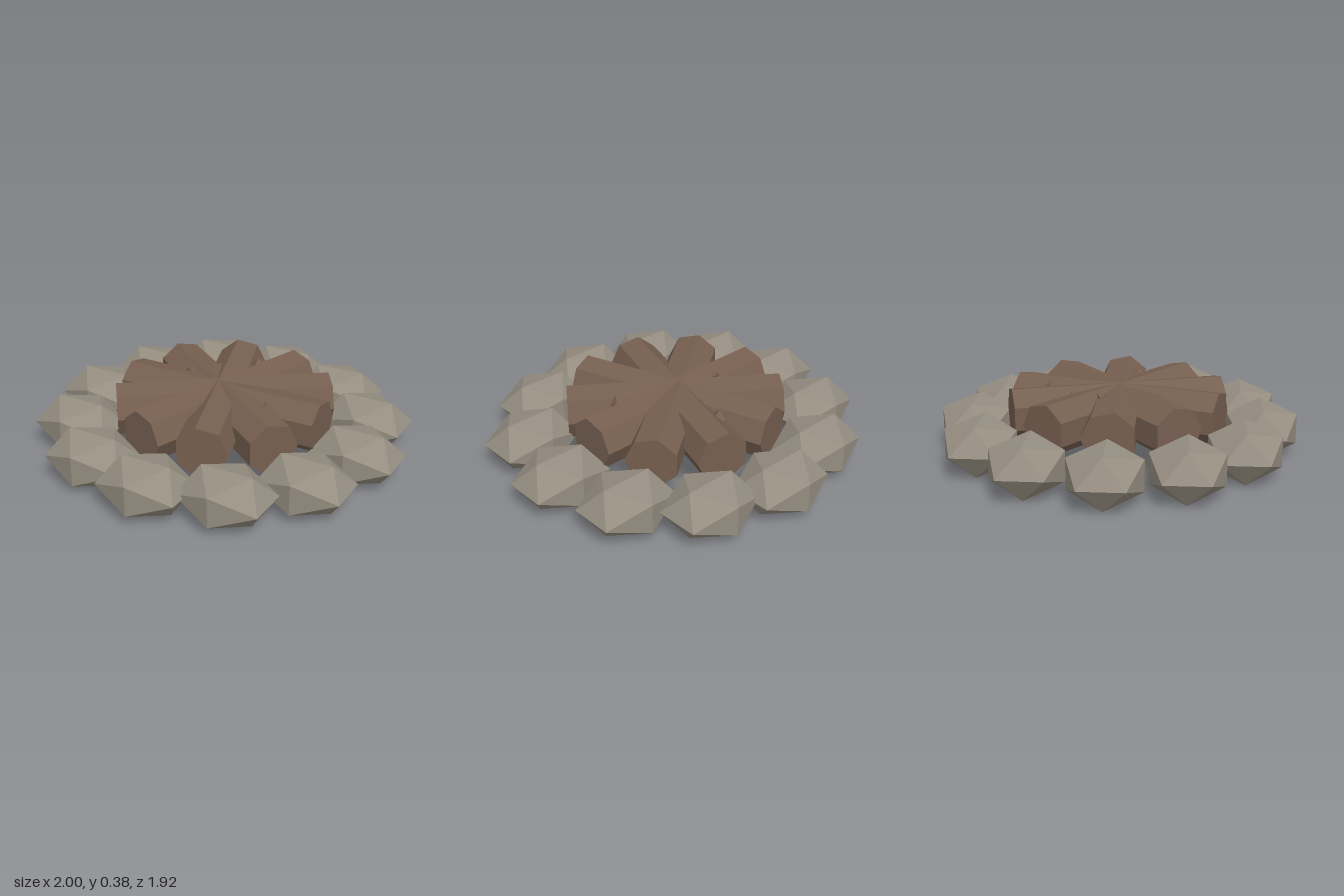
import * as THREE from 'three';

export function createModel() {
  const model = new THREE.Group();
  const mat = (name, color) => {
    const m = new THREE.MeshStandardMaterial({ color, flatShading: true });
    m.name = name;
    return m;
  };
  const stoneGrey = mat('stone grey', 0x958d80);
  const barkBrown = mat('bark brown', 0x765f50);

  const add = (name, geometry, material, x, y, z) => {
    const mesh = new THREE.Mesh(geometry, material);
    mesh.name = name;
    mesh.position.set(x, y, z);
    model.add(mesh);
    return mesh;
  };

  // Ring of twelve flattened stones, all facing the same way
  const stoneGeo = new THREE.IcosahedronGeometry(0.22, 0).scale(1.2, 0.7, 1);
  for (let i = 0; i < 12; i++) {
    const a = (i * Math.PI) / 6;
    add('stone', stoneGeo, stoneGrey, 0.775 * Math.cos(a), 0.131, 0.775 * Math.sin(a));
  }

  // Five seven-sided logs crossing at the middle
  const logGeo = new THREE.CylinderGeometry(0.14, 0.14, 1.15, 7).rotateZ(Math.PI / 2);
  for (let i = 1; i <= 5; i++) {
    add('log', logGeo, barkBrown, 0, 0.238, 0).rotation.y = (i * Math.PI) / 5;
  }

  // Small knots poking out of the bark: x, y, z, size
  const knots = [
    [0.02, 0.325, -0.36, 0.05],
    [0.31, 0.325, 0.1, 0.05],
    [-0.24, 0.35, -0.06, 0.035],
    [-0.14, 0.33, -0.215, 0.035],
    [0.3, 0.335, -0.185, 0.03],
    [-0.16, 0.335, 0.16, 0.035],
  ];
  const knotGeo = new THREE.OctahedronGeometry(1, 0);
  knots.forEach(([x, y, z, s], i) => {
    const knot = add('knot', knotGeo, barkBrown, x, y, z);
    knot.scale.setScalar(s);
    knot.rotation.set(0.3 * i, 0.7 * i, 0);
  });

  return model;
}
